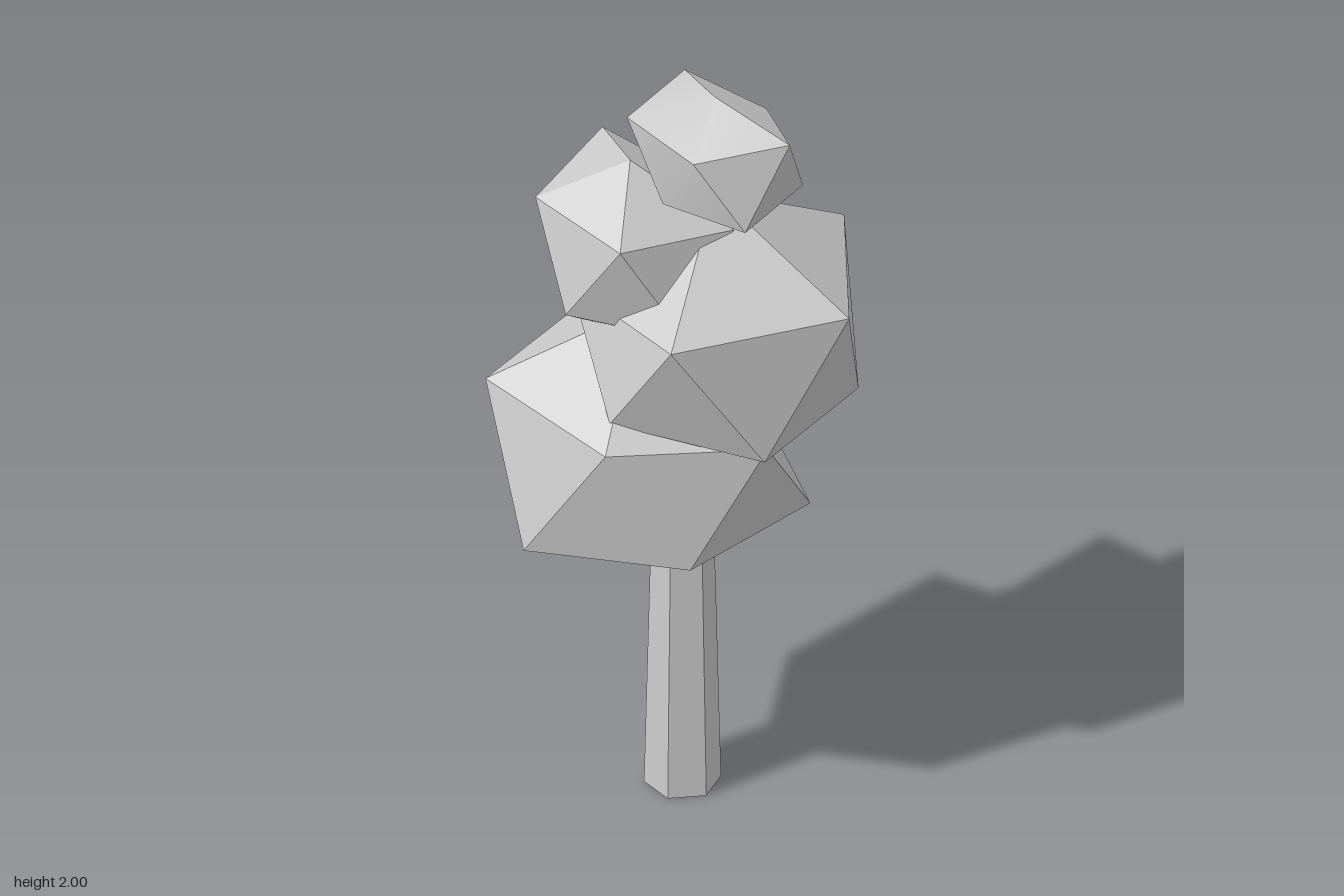
import * as THREE from 'three';
import { toCreasedNormals } from 'three/addons/utils/BufferGeometryUtils.js';
import { ConvexGeometry } from 'three/addons/geometries/ConvexGeometry.js';

// Corner points of each leaf clump: apex, upper ring, lower ring, bottom.
const clumps = {
  lowerFoliage: [
    [-0.09, 1.38, -0.07],
    [-0.40, 1.19, -0.28], [0.03, 1.19, -0.41], [0.18, 1.18, -0.08], [0, 1.14, 0.33], [-0.37, 1.18, 0.16],
    [-0.46, 0.83, -0.05], [-0.20, 0.84, 0.28], [0.24, 0.81, 0.19], [0.22, 0.83, -0.27], [-0.20, 0.87, -0.33],
    [-0.10, 0.64, -0.07],
  ],
  middleFoliage: [
    [0.06, 1.72, 0.04],
    [-0.26, 1.50, 0.28], [0.19, 1.49, 0.41], [0.46, 1.49, 0.04], [0.15, 1.46, -0.20], [-0.22, 1.45, -0.17],
    [-0.04, 1.14, 0.37], [0.35, 1.13, 0.24], [0.39, 1.12, -0.20], [0, 1.20, -0.28], [-0.31, 1.22, 0.10],
    [0.20, 1.04, 0.04],
  ],
  backFoliage: [
    [-0.10, 1.81, -0.09],
    [-0.30, 1.72, -0.21], [0, 1.74, -0.33], [0.12, 1.66, -0.10], [0.05, 1.66, 0.13], [-0.27, 1.70, 0.09],
    [-0.19, 1.46, -0.25], [0.15, 1.48, -0.22], [0.10, 1.42, 0.03], [-0.12, 1.42, 0.16], [-0.33, 1.47, -0.05],
    [-0.08, 1.30, -0.08],
  ],
  topFoliage: [
    [0.06, 2.0, 0.04],
    [0.13, 1.94, 0.25], [0.22, 1.90, 0.04], [0.13, 1.94, -0.17], [-0.11, 1.94, -0.09], [-0.09, 1.92, 0.15],
    [0.24, 1.73, 0.16], [0.23, 1.73, -0.08], [0, 1.73, -0.16], [-0.10, 1.75, 0.04], [0, 1.73, 0.24],
    [0.07, 1.69, 0.04],
  ],
};

export function createModel() {
  const group = new THREE.Group();
  const grey = new THREE.MeshStandardMaterial({ color: 0xcccccc });
  grey.name = 'lightGrey';

  function add(name, geometry) {
    // Sharp facets, with only the shallow folds blended
    const mesh = new THREE.Mesh(toCreasedNormals(geometry, 0.52), grey);
    mesh.name = name;
    group.add(mesh);
    return mesh;
  }

  // Six-sided tapering trunk, its top buried in the leaves
  const trunk = add('trunk', new THREE.CylinderGeometry(0.075, 0.095, 0.85, 6));
  trunk.position.set(-0.008, 0.425, 0);

  // Faceted leaf clumps
  for (const [name, corners] of Object.entries(clumps)) {
    add(name, new ConvexGeometry(corners.map((p) => new THREE.Vector3(...p))));
  }
  return group;
}
